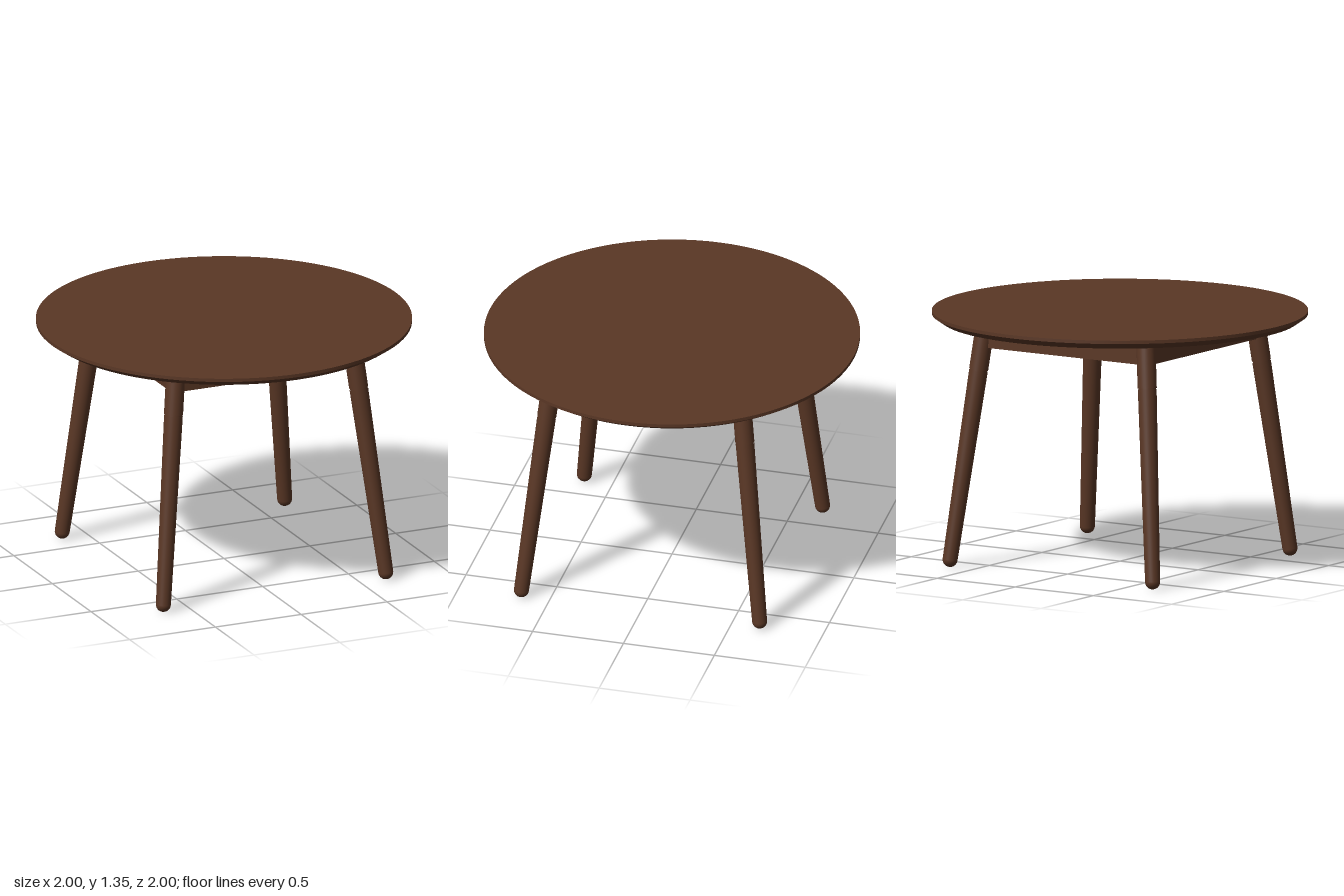
import * as THREE from 'three';

const v2 = (x, y) => new THREE.Vector2(x, y);

export function createModel() {
  const model = new THREE.Group();
  model.name = 'roundTable';
  const wood = new THREE.MeshStandardMaterial({ color: 0x5a3725 });
  wood.name = 'dark walnut';

  const add = (name, geometry, parent = model) => {
    const mesh = new THREE.Mesh(geometry, wood);
    mesh.name = name;
    parent.add(mesh);
    return mesh;
  };

  // Tabletop: thin disc with a bevel under the rim
  const rimY = 1.337, topY = 1.355, underY = 1.305;
  add('tabletop', new THREE.CylinderGeometry(1, 1, topY - rimY, 96))
    .position.y = (topY + rimY) / 2;
  add('tabletopBevel', new THREE.CylinderGeometry(1, 0.953, rimY - underY, 96))
    .position.y = (rimY + underY) / 2;

  // Splayed legs: rounded foot, tapered shaft, fine groove, upper sleeve
  const footR = 0.04, shaftR = 0.05, sleeveR = 0.051;
  const foot = new THREE.Vector3(0.648, footR, 0.655);
  const head = new THREE.Vector3(0.512, 1.315, 0.517);
  const length = foot.distanceTo(head);
  const grooveAt = length * 0.797;

  const shaftProfile = [];
  for (let i = 0; i <= 8; i++) {
    const a = (i / 8) * Math.PI / 2;
    shaftProfile.push(v2(footR * Math.sin(a), -footR * Math.cos(a)));
  }
  shaftProfile.push(v2(shaftR, grooveAt - 0.003));
  const shaft = new THREE.LatheGeometry(shaftProfile, 32);
  const groove = new THREE.CylinderGeometry(0.047, 0.047, 0.012, 32);
  const sleeve = new THREE.CylinderGeometry(sleeveR, sleeveR, length - grooveAt - 0.003, 32);

  const up = new THREE.Vector3(0, 1, 0);
  for (const sx of [-1, 1]) {
    for (const sz of [-1, 1]) {
      const side = new THREE.Vector3(sx, 1, sz);
      const base = foot.clone().multiply(side);
      const axis = head.clone().multiply(side).sub(base).normalize();
      const leg = new THREE.Group();
      leg.name = (sz > 0 ? 'front' : 'back') + (sx > 0 ? 'Left' : 'Right') + 'Leg';
      leg.position.copy(base);
      leg.quaternion.setFromUnitVectors(up, axis);
      add('legShaft', shaft, leg);
      add('legGroove', groove, leg).position.y = grooveAt;
      add('legSleeve', sleeve, leg).position.y = (grooveAt + 0.003 + length) / 2;
      model.add(leg);
    }
  }

  // Apron: four rails joining the leg heads
  const railH = 0.13, railT = 0.06, railAt = 0.517, railY = 1.18 + railH / 2;
  const rail = new THREE.BoxGeometry(railAt * 2 - 0.03, railH, railT);
  ['frontRail', 'leftRail', 'backRail', 'rightRail'].forEach((name, i) => {
    const a = i * Math.PI / 2;
    const mesh = add(name, rail);
    mesh.position.set(railAt * Math.sin(a), railY, railAt * Math.cos(a));
    mesh.rotation.y = a;
  });

  return model;
}
